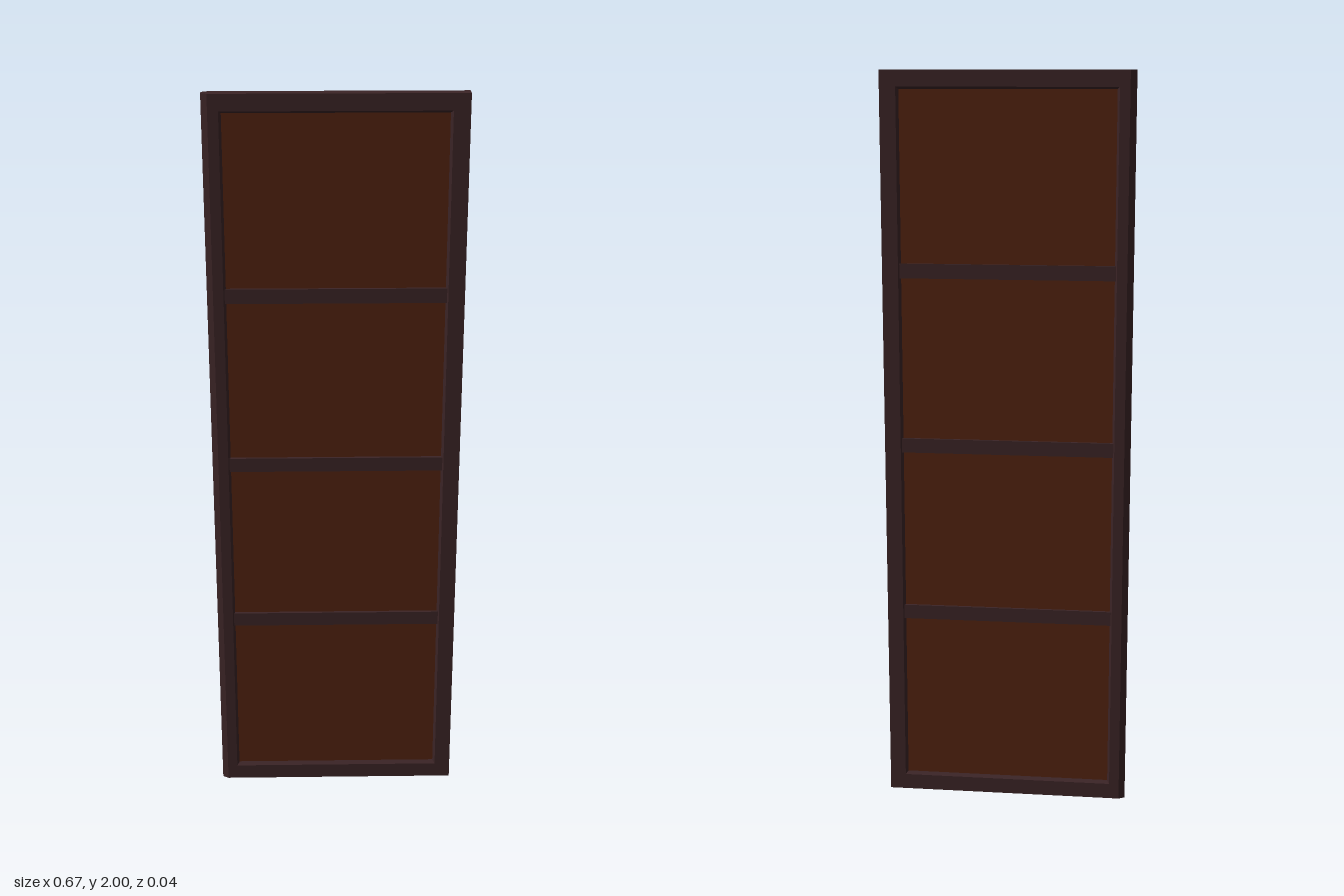
import * as THREE from 'three';

const HALF_W = 0.333, HEIGHT = 2, HALF_D = 0.0175;

// Frame cross-section: [inset from outer edge, z, extra inset on the chamfered -x edge]
const PROFILE = [
  [0, -HALF_D, 0.016], [0, -0.008, 0], [0, 0.008, 0], [0, HALF_D, 0.016],
  [0.043, HALF_D, 0], [0.049, 0.008, 0], [0.049, -0.008, 0], [0.043, -HALF_D, 0],
];

// Sweep the cross-section round the rectangle with mitred corners
function frameGeometry() {
  const corners = [[-1, 0], [1, 0], [1, 1], [-1, 1]];
  const point = (c, p) => {
    const [sx, top] = corners[c % 4];
    const [inset, z, chamfer] = PROFILE[p % PROFILE.length];
    const x = sx * (HALF_W - inset - (sx < 0 ? chamfer : 0));
    return [x, top ? HEIGHT - inset : inset, z];
  };
  const positions = [];
  for (let c = 0; c < 4; c++) {
    for (let p = 0; p < PROFILE.length; p++) {
      const a = point(c, p), b = point(c + 1, p);
      const d = point(c, p + 1), e = point(c + 1, p + 1);
      positions.push(...a, ...b, ...e, ...a, ...e, ...d);
    }
  }
  const geometry = new THREE.BufferGeometry();
  geometry.setAttribute('position', new THREE.Float32BufferAttribute(positions, 3));
  geometry.computeVertexNormals();
  return geometry;
}

export function createModel() {
  const model = new THREE.Group();
  model.name = 'panelDoor';
  const darkWood = new THREE.MeshStandardMaterial({ color: 0x3b2426 });
  darkWood.name = 'darkWood';
  const panelWood = new THREE.MeshStandardMaterial({ color: 0x52230f });
  panelWood.name = 'panelWood';

  const add = (name, geometry, material, y = 0) => {
    const mesh = new THREE.Mesh(geometry, material);
    mesh.name = name;
    mesh.position.y = y;
    model.add(mesh);
  };

  add('frame', frameGeometry(), darkWood);

  // Recessed panel running behind all the rails
  add('panel', new THREE.BoxGeometry(0.57, 1.91, 0.01), panelWood, 1);

  // Three cross rails, proud of the panel on both sides
  [0.53, 1.005, 1.48].forEach((y, i) =>
    add(`crossRail${i + 1}`, new THREE.BoxGeometry(0.576, 0.039, 0.026), darkWood, y));

  return model;
}
